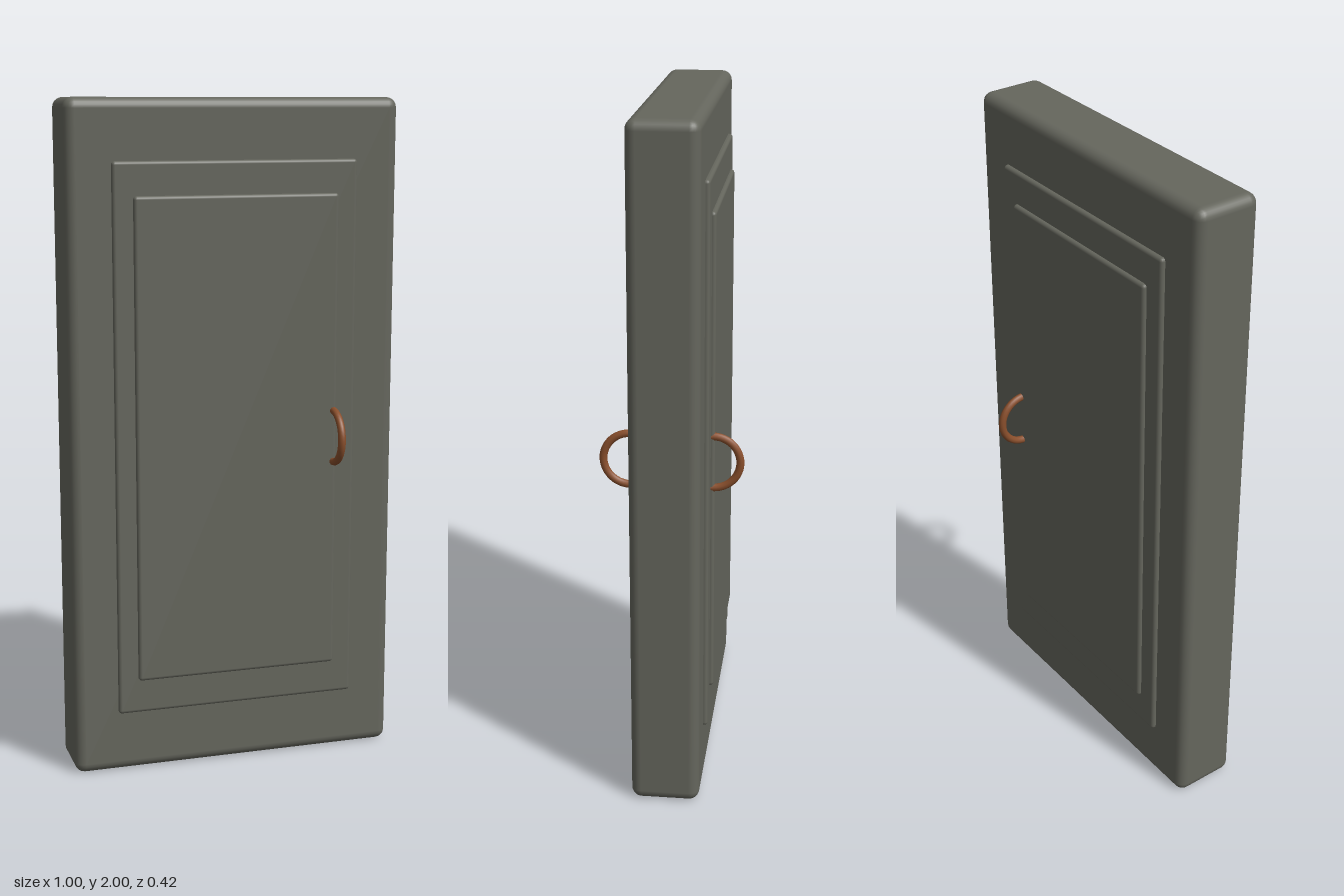
import * as THREE from 'three';
import { RoundedBoxGeometry } from 'three/addons/geometries/RoundedBoxGeometry.js';

export function createModel() {
  const door = new THREE.Group();
  door.name = 'door';

  const slate = new THREE.MeshStandardMaterial({ color: 0x65665d });
  slate.name = 'slate grey';
  const copper = new THREE.MeshStandardMaterial({ color: 0x8a4f2c });
  copper.name = 'copper brown';

  function add(name, geometry, material, x, y, z) {
    const mesh = new THREE.Mesh(geometry, material);
    mesh.name = name;
    mesh.position.set(x, y, z);
    door.add(mesh);
    return mesh;
  }

  // Thick slab with softened edges
  add('slab', new RoundedBoxGeometry(1, 2, 0.2, 3, 0.03), slate, 0, 1, 0);

  // Stepped panels, each passing through the slab to show on both faces
  add('outerPanel', new RoundedBoxGeometry(0.738, 1.64, 0.224, 2, 0.01), slate, 0, 1.003, -0.001);
  add('innerPanel', new RoundedBoxGeometry(0.618, 1.44, 0.247, 2, 0.01), slate, 0, 1.005, -0.001);

  // Half-ring pulls, front and back, with their ends sunk into the panel
  for (const side of [1, -1]) {
    const ring = new THREE.TorusGeometry(0.078, 0.0115, 10, 28, Math.PI * 1.16);
    ring.rotateZ(-Math.PI * 0.58);
    ring.rotateY(-side * Math.PI / 2);
    add(side > 0 ? 'frontHandle' : 'backHandle', ring, copper, 0.299, 1, side * 0.119);
  }

  return door;
}
